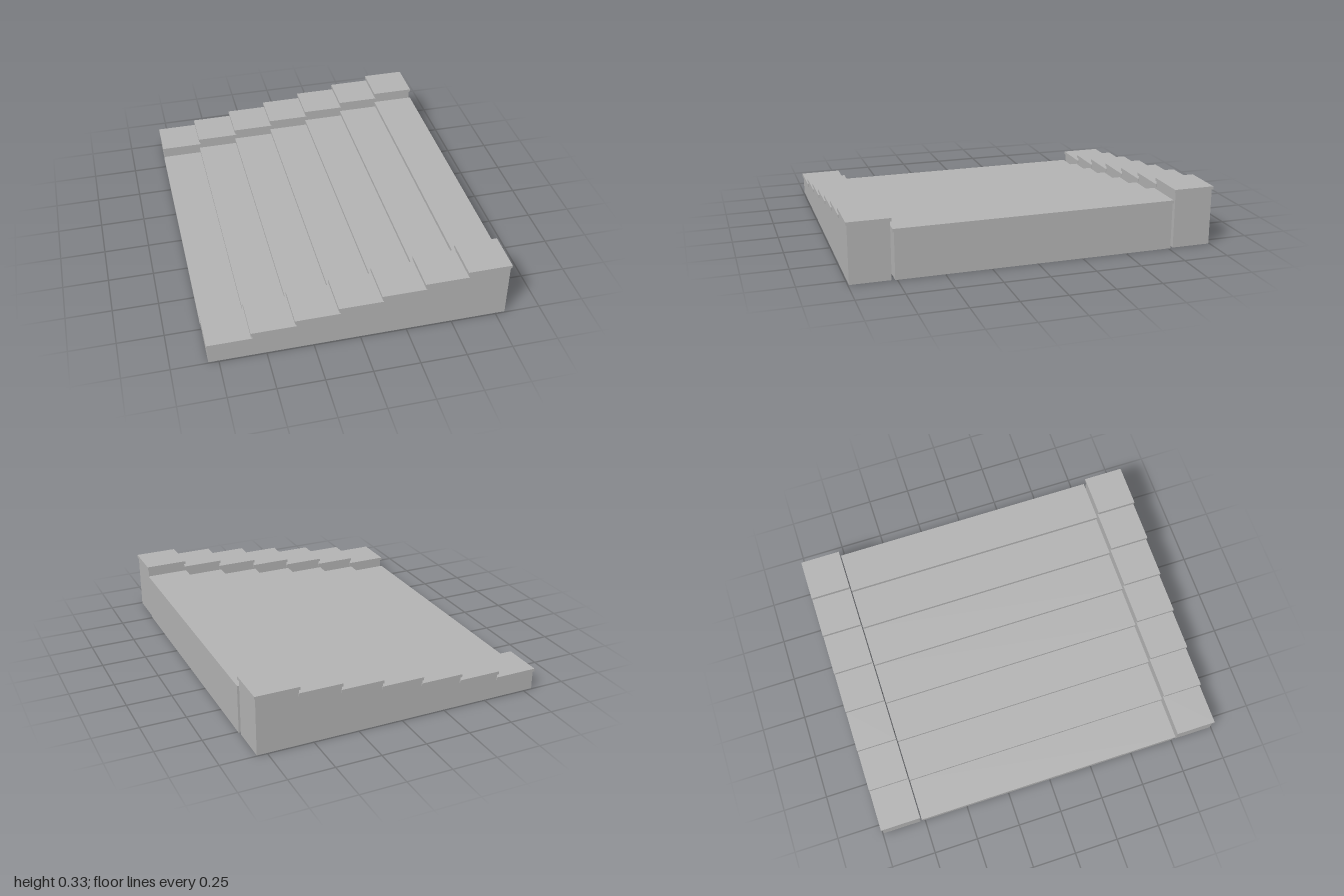
import * as THREE from 'three';

const STEPS = 7, PITCH = 0.23, RISE = 0.0347, SLAB = 0.017, X0 = -0.81;

export function createModel() {
  const stone = new THREE.MeshStandardMaterial({ color: 0xb2b2b2 });
  stone.name = 'grey stone';
  const model = new THREE.Group();
  model.name = 'steps';

  // One flight: a solid stepped body with an overhanging slab on every step
  function flight(name, slabName, firstTop, zCentre, bodyDepth, slabDepth, backX) {
    const group = new THREE.Group();
    group.name = name;
    const front = X0 + 0.006;
    const profile = new THREE.Shape();
    profile.moveTo(front, 0);
    for (let i = 0; i < STEPS; i++) {
      const y = firstTop + i * RISE - SLAB;
      profile.lineTo(front + i * PITCH, y);
      profile.lineTo(i < STEPS - 1 ? front + (i + 1) * PITCH : backX, y);
    }
    profile.lineTo(backX, 0);
    profile.closePath();
    const bodyGeo = new THREE.ExtrudeGeometry(profile, { depth: bodyDepth, bevelEnabled: false });
    bodyGeo.translate(0, 0, -bodyDepth / 2);
    const body = new THREE.Mesh(bodyGeo, stone);
    body.name = name + 'Body';
    group.add(body);

    const slabGeo = new THREE.BoxGeometry(PITCH + 0.01, SLAB, slabDepth);
    for (let i = 0; i < STEPS; i++) {
      const slab = new THREE.Mesh(slabGeo, stone);
      slab.name = slabName + (i + 1);
      slab.position.set(X0 + i * PITCH + (PITCH + 0.01) / 2, firstTop + i * RISE - SLAB / 2, 0);
      group.add(slab);
    }
    group.position.z = zCentre;
    model.add(group);
  }

  // Wide stair between two raised stepped side walls
  flight('stair', 'tread', 0.064, 0, 1.522, 1.534, 0.809);
  flight('frontWall', 'frontCap', 0.122, 0.886, 0.216, 0.228, 0.804);
  flight('backWall', 'backCap', 0.122, -0.886, 0.216, 0.228, 0.804);

  return model;
}
